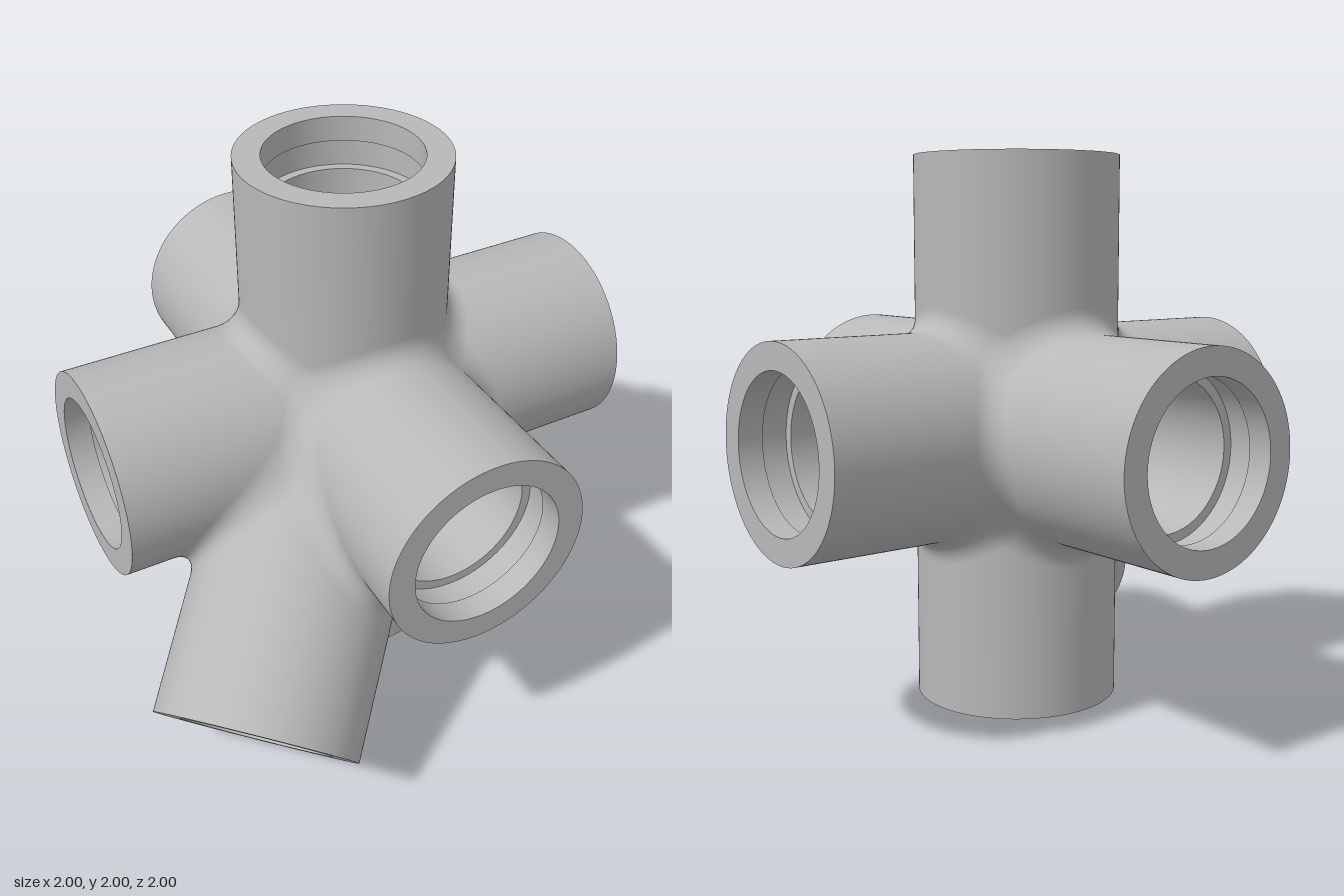
import * as THREE from 'three';
import { toCreasedNormals } from 'three/addons/utils/BufferGeometryUtils.js';

const OUTER = 0.364, BORE = 0.257, FILLET = 0.08, SEG = 144;
const UP = new THREE.Vector3(0, 1, 0);

// Every arm points away from one shared hub
const ARMS = [
  ['rightArm', -1, 0, 0, 0.972], ['leftArm', 1, 0, 0, 0.972],
  ['topArm', 0, 1, 0, 0.972], ['bottomArm', 0, -1, 0, 0.972],
  ['frontArm', 0, 0, 1, 0.972], ['backArm', 0, 0, -1, 0.972],
  ['diagonalArm', -1, -1, 1, 1.27],
].map(([name, x, y, z, length]) => ({ name, dir: new THREE.Vector3(x, y, z).normalize(), length }));

// Distance to the union of all arms, with rounded inside corners
function hubDistance(p, dirs) {
  let nearest = Infinity, sum = 0;
  for (const d of dirs) {
    const along = Math.max(p.dot(d), 0);
    const dist = Math.sqrt(Math.max(p.lengthSq() - along * along, 0)) - OUTER;
    nearest = Math.min(nearest, dist);
    sum += Math.max(FILLET - dist, 0) ** 2;
  }
  return Math.max(FILLET, nearest) - Math.sqrt(sum);
}

function hubNormal(p, dirs) {
  const e = 0.001, n = new THREE.Vector3(), q = new THREE.Vector3();
  for (const k of ['x', 'y', 'z']) {
    q.copy(p); q[k] += e;
    const a = hubDistance(q, dirs);
    q[k] -= 2 * e;
    n[k] = a - hubDistance(q, dirs);
  }
  return n.normalize();
}

// Tube along +y that starts where it meets its neighbours' mitre planes
function mitredTube(dirs, length, rows, inside) {
  const pos = [], nor = [], index = [];
  const neighbours = dirs.filter(d => d.y < 0.999);
  for (let i = 0; i <= rows; i++) {
    const s = (i / rows) ** 2;
    for (let j = 0; j <= SEG; j++) {
      const a = (j / SEG) * Math.PI * 2;
      const n = new THREE.Vector3(Math.sin(a), 0, Math.cos(a));
      const slope = Math.max(...neighbours.map(d => n.dot(d) / (1 - d.y)));
      const at = r => {
        const start = r * slope;
        return n.clone().multiplyScalar(r).setY(start + s * (length - start));
      };
      let radius = BORE;
      if (!inside) {
        let lo = OUTER * 0.95, hi = OUTER + 0.12;
        for (let k = 0; k < 18; k++) {
          radius = (lo + hi) / 2;
          if (hubDistance(at(radius), dirs) < 0) lo = radius; else hi = radius;
        }
      }
      const p = at(radius);
      pos.push(p.x, p.y, p.z);
      const m = inside ? n.clone().negate() : hubNormal(p, dirs);
      nor.push(m.x, m.y, m.z);
      if (i < rows && j < SEG) {
        const b = i * (SEG + 1) + j, c = b + SEG + 1;
        if (inside) index.push(b, c, b + 1, b + 1, c, c + 1);
        else index.push(b, b + 1, c, b + 1, c + 1, c);
      }
    }
  }
  const g = new THREE.BufferGeometry();
  g.setAttribute('position', new THREE.Float32BufferAttribute(pos, 3));
  g.setAttribute('normal', new THREE.Float32BufferAttribute(nor, 3));
  g.setIndex(index);
  return g;
}

// End face, socket mouth and the ring groove inside it
function socket(length) {
  const profile = [
    [OUTER, 0], [0.27, 0], [0.27, 0.09], [0.29, 0.09], [0.29, 0.19], [BORE, 0.19],
  ].map(([r, depth]) => new THREE.Vector2(r, length - depth));
  return toCreasedNormals(new THREE.LatheGeometry(profile, SEG), 0.6);
}

export function createModel() {
  const model = new THREE.Group();
  model.name = 'pipeConnector';
  const grey = new THREE.MeshStandardMaterial({ color: 0xb8b8b8 });
  grey.name = 'grey';

  for (const { name, dir, length } of ARMS) {
    const arm = new THREE.Group();
    arm.name = name;
    arm.quaternion.setFromUnitVectors(UP, dir);
    const toLocal = arm.quaternion.clone().invert();
    const dirs = ARMS.map(o => o.dir.clone().applyQuaternion(toLocal));
    const parts = {
      outerWall: mitredTube(dirs, length, 24, false),
      bore: mitredTube(dirs, length - 0.19, 4, true),
      socket: socket(length),
    };
    for (const [part, geometry] of Object.entries(parts)) {
      const mesh = new THREE.Mesh(geometry, grey);
      mesh.name = part;
      arm.add(mesh);
    }
    model.add(arm);
  }
  // Place the hub so the diagonal arm's lowest edge rests on the ground
  model.children.forEach(arm => arm.position.set(0.028, 1.03, -0.028));
  return model;
}
